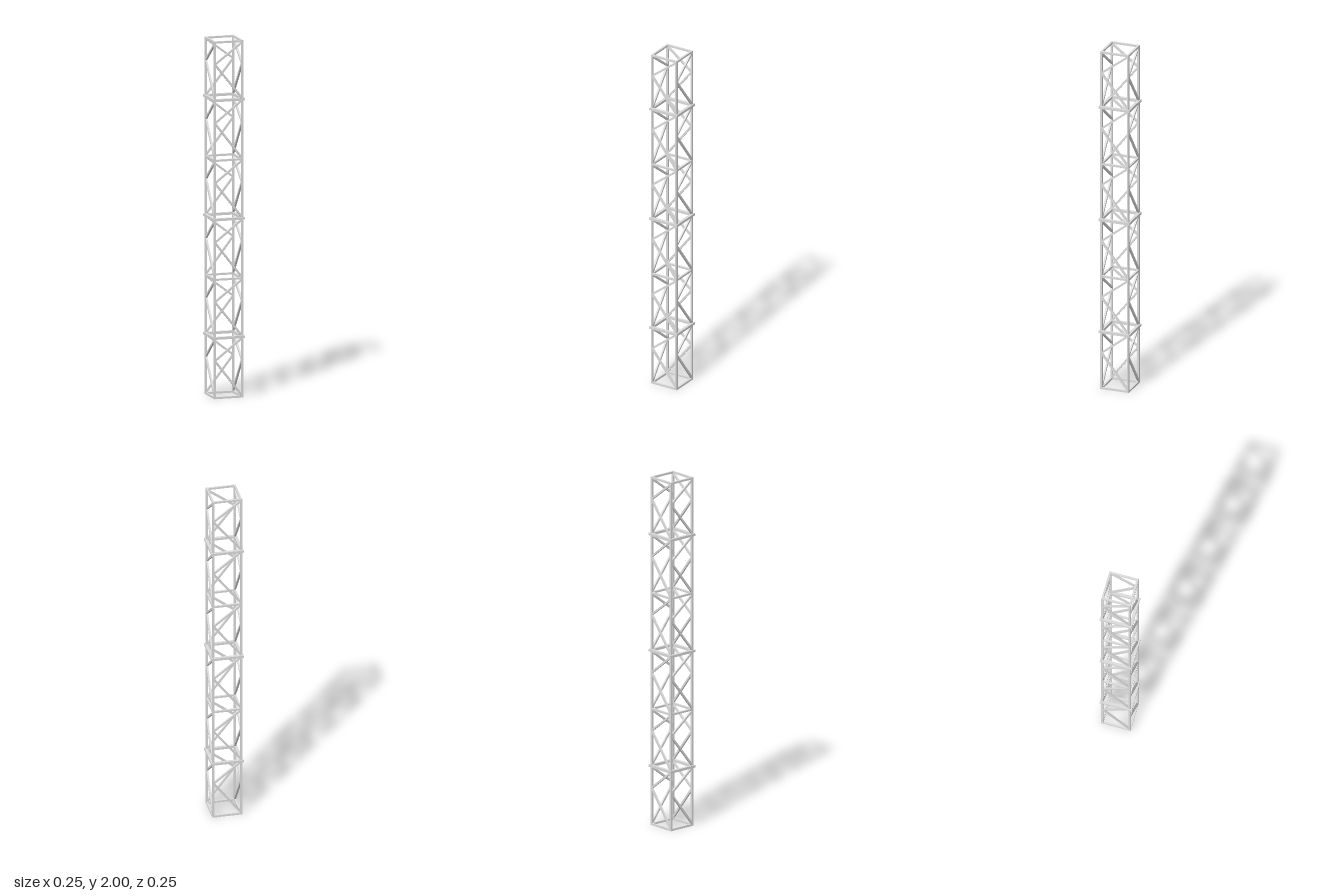
import * as THREE from 'three';

const BAR = 0.011;                  // thickness of the square bars
const OUTER = 0.084;                // half width over the legs
const C = OUTER - BAR / 2;          // leg centre line
const LEVELS = [BAR / 2, 0.34, 0.667, 1.003, 1.333, 1.67, 2 - BAR / 2];

export function createModel() {
  const steel = new THREE.MeshStandardMaterial({ color: 0xdcdcdc });
  steel.name = 'light grey steel';
  const model = new THREE.Group();
  model.name = 'latticeMast';

  function box(parent, name, w, h, d, x, y, z) {
    const mesh = new THREE.Mesh(new THREE.BoxGeometry(w, h, d), steel);
    mesh.name = name;
    mesh.position.set(x, y, z);
    parent.add(mesh);
    return mesh;
  }

  // Slanted bar in the plane of a face
  function brace(parent, name, x0, y0, x1, y1) {
    const length = Math.hypot(x1 - x0, y1 - y0);
    const mesh = box(parent, name, length, BAR, BAR * 0.95, (x0 + x1) / 2, (y0 + y1) / 2, C);
    mesh.rotation.z = Math.atan2(y1 - y0, x1 - x0);
  }

  // Four identical sides, each a quarter turn from the last
  for (let side = 0; side < 4; side++) {
    const face = new THREE.Group();
    face.name = 'side' + (side + 1);
    face.rotation.y = side * Math.PI / 2;
    model.add(face);

    box(face, 'leg', BAR, 2, BAR, C, 1, C);

    // Odd levels carry wide collars, even levels plain rails between the legs
    LEVELS.forEach((y, i) => {
      if (i % 2) {
        const inner = 0.074, outer = 0.091, depth = outer - inner;
        box(face, 'collar', outer + inner, 0.014, depth, -depth / 2, y, (inner + outer) / 2);
      } else {
        box(face, 'rail', 2 * C - BAR, BAR, BAR, 0, y, C);
      }
    });

    // Two braces per bay meeting on one leg
    for (let i = 0; i < LEVELS.length - 1; i++) {
      const low = LEVELS[i], high = LEVELS[i + 1];
      const meet = low + (high - low) * 0.62;
      brace(face, 'lowerBrace', -C, meet, C, low + 0.006);
      brace(face, 'upperBrace', -C, meet, C, high - 0.006);
    }
  }

  // The mast stands turned about its axis
  model.rotation.y = -Math.PI / 6;
  const root = new THREE.Group();
  root.name = 'mast';
  root.add(model);
  return root;
}
